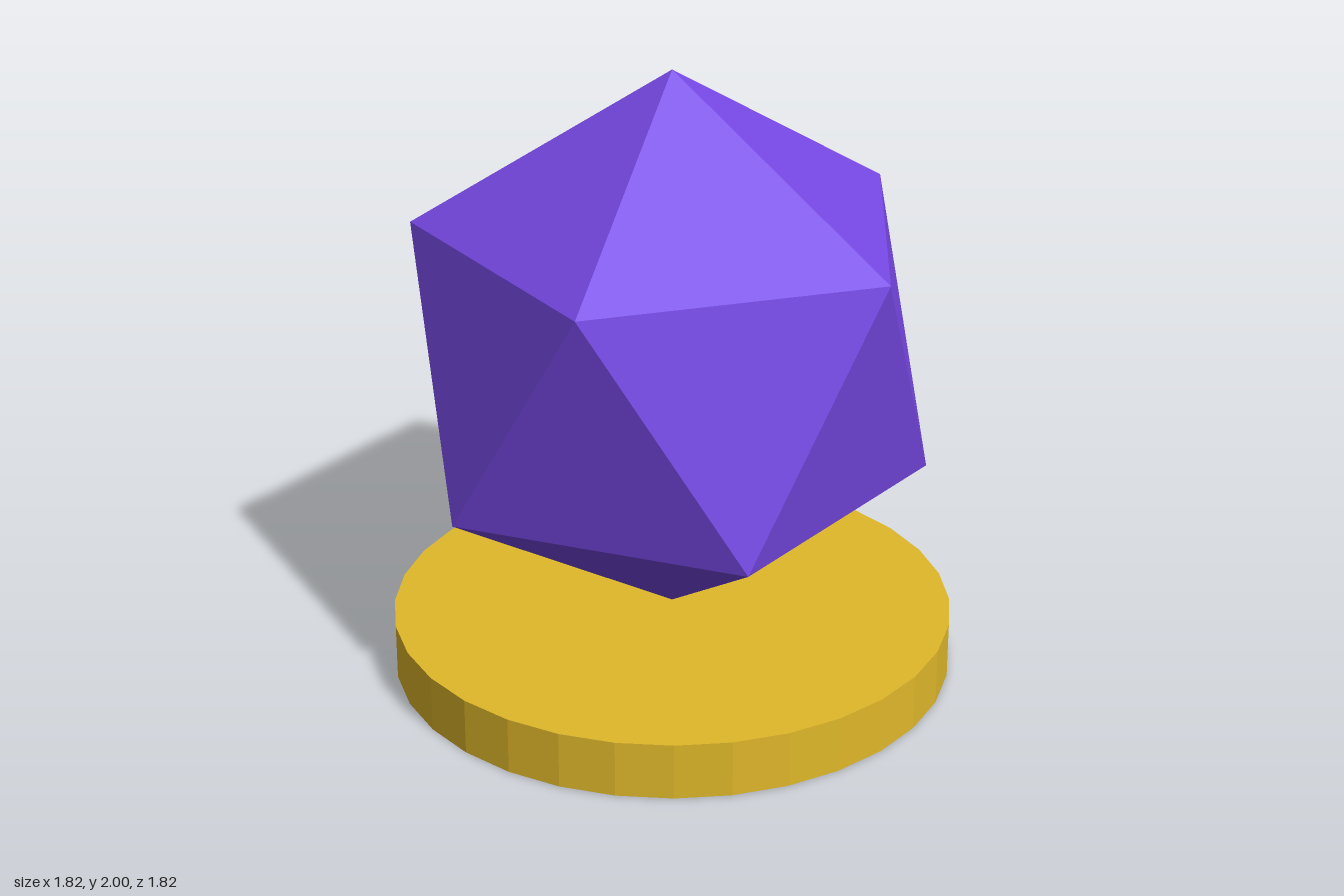
import * as THREE from 'three';

const BASE_HEIGHT = 0.185;
const RADIUS = (2 - BASE_HEIGHT) / 2;

// Regular icosahedron standing on one vertex: two poles and two staggered rings of five
function icosahedronOnVertex(radius) {
  const ringRadius = (2 * radius) / Math.sqrt(5);
  const ringHeight = radius / Math.sqrt(5);
  const points = [0, radius, 0, 0, -radius, 0];
  for (const [y, offset] of [[ringHeight, 0], [-ringHeight, 0.5]]) {
    for (let i = 0; i < 5; i++) {
      const a = ((i + offset) * 2 * Math.PI) / 5;
      points.push(ringRadius * Math.cos(a), y, ringRadius * Math.sin(a));
    }
  }
  const upper = (i) => 2 + (i % 5);
  const lower = (i) => 7 + (i % 5);
  const faces = [];
  for (let i = 0; i < 5; i++) {
    faces.push(0, upper(i + 1), upper(i)); // cap
    faces.push(upper(i), upper(i + 1), lower(i)); // belt
    faces.push(lower(i), upper(i + 1), lower(i + 1));
    faces.push(1, lower(i), lower(i + 1)); // bottom point
  }
  const indexed = new THREE.BufferGeometry();
  indexed.setAttribute('position', new THREE.Float32BufferAttribute(points, 3));
  indexed.setIndex(faces);
  const geometry = indexed.toNonIndexed();
  geometry.computeVertexNormals();
  return geometry;
}

export function createModel() {
  const group = new THREE.Group();
  group.name = 'gemOnStand';

  // Round stand
  const stand = new THREE.Mesh(
    new THREE.CylinderGeometry(RADIUS, RADIUS, BASE_HEIGHT, 32),
    new THREE.MeshStandardMaterial({ color: 0xe0b82a, flatShading: true })
  );
  stand.name = 'stand';
  stand.position.y = BASE_HEIGHT / 2;
  group.add(stand);

  // Faceted gem balanced on its lower point
  const gem = new THREE.Mesh(
    icosahedronOnVertex(RADIUS),
    new THREE.MeshStandardMaterial({ color: 0x7749e6, flatShading: true })
  );
  gem.name = 'gem';
  gem.position.y = BASE_HEIGHT + RADIUS;
  group.add(gem);

  return group;
}
